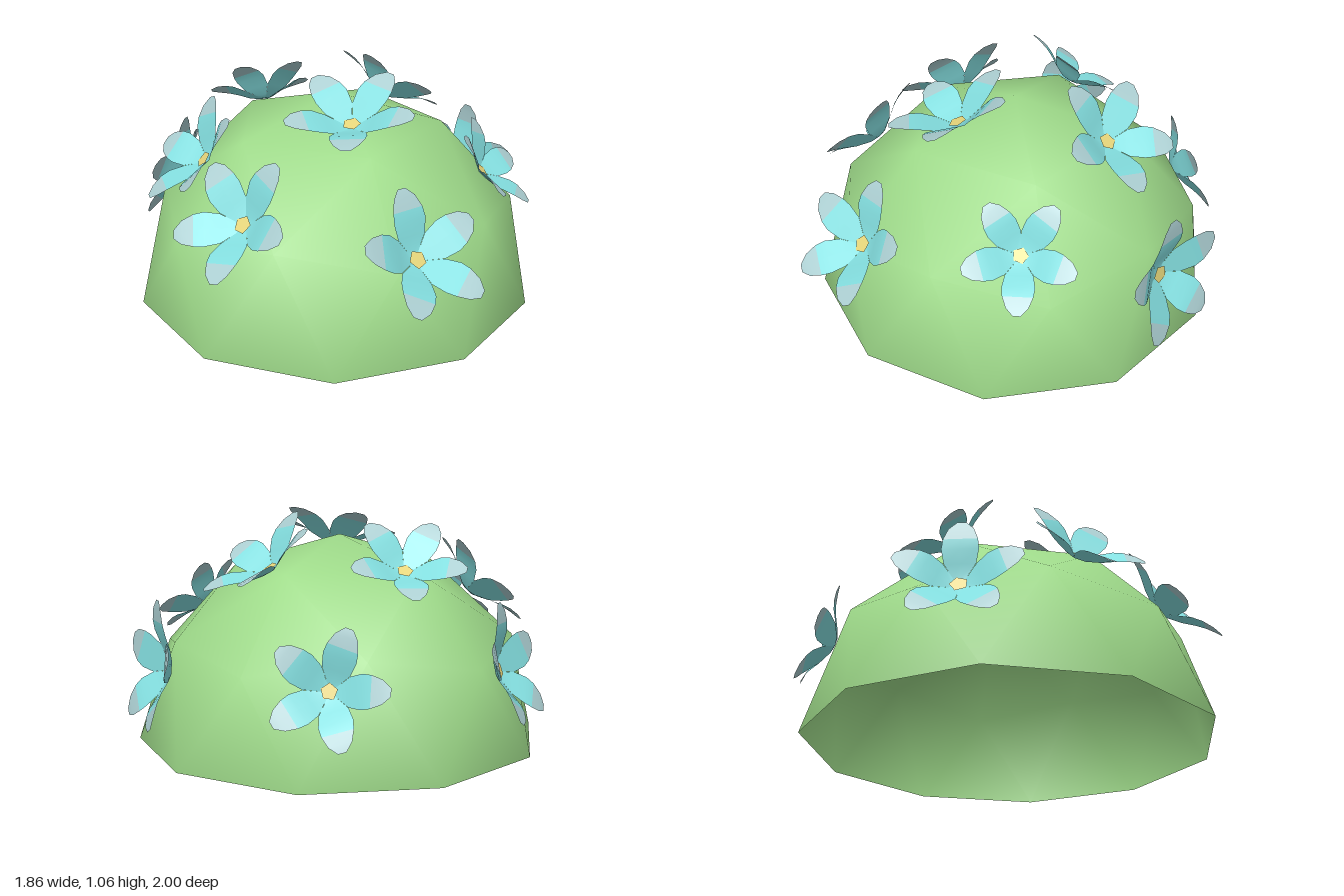
import * as THREE from 'three';
import { mergeGeometries } from 'three/addons/utils/BufferGeometryUtils.js';

const green = new THREE.MeshStandardMaterial({ color: 0x9fdb8a, side: THREE.DoubleSide });
green.name = 'leaf green';
const cyan = new THREE.MeshStandardMaterial({ color: 0x84dfe0, side: THREE.DoubleSide });
cyan.name = 'petal cyan';
const pale = new THREE.MeshStandardMaterial({ color: 0xaccfd2, side: THREE.DoubleSide });
pale.name = 'petal tip grey';
const yellow = new THREE.MeshStandardMaterial({ color: 0xe6d57a, side: THREE.DoubleSide });
yellow.name = 'pollen yellow';

function build(positions, index) {
  const g = new THREE.BufferGeometry();
  g.setAttribute('position', new THREE.Float32BufferAttribute(positions, 3));
  g.setIndex(index);
  g.computeVertexNormals();
  return g;
}

// Half of a once-subdivided icosahedron, one corner at the top, open below
function domeGeometry(R) {
  const pos = [0, R, 0], idx = [];
  const add = (polar, deg) => {
    const a = THREE.MathUtils.degToRad(deg);
    pos.push(R * Math.sin(polar) * Math.cos(a), R * Math.cos(polar), R * Math.sin(polar) * Math.sin(a));
  };
  const corner = Math.atan(2);
  for (let k = 0; k < 5; k++) add(corner / 2, 72 * k);
  for (let k = 0; k < 10; k++) add(k % 2 ? 1.0172 : corner, 36 * k);
  for (let k = 0; k < 10; k++) add(Math.PI / 2, 18 + 36 * k);
  const a = k => 1 + k % 5, p = k => 6 + k % 10, e = k => 16 + k % 10;
  for (let k = 0; k < 5; k++) {
    const m = p(2 * k + 1);
    idx.push(0, a(k + 1), a(k), a(k), m, p(2 * k), a(k), a(k + 1), m, a(k + 1), p(2 * k + 2), m);
  }
  for (let k = 0; k < 10; k++) idx.push(p(k), p(k + 1), e(k), e(k), p(k + 1), e(k + 1));
  const g = build(pos, idx);
  // Spherical normals keep the shading smooth over the facets
  g.setAttribute('normal', new THREE.Float32BufferAttribute(pos.map(v => v / R), 3));
  return g;
}

const dome = domeGeometry(0.945);
const origin = new THREE.Vector3(0.025, 0, -0.02);

// Planes of the dome's facets, for seating the flowers
const facets = [];
for (let i = 0; i < dome.index.count; i += 3) {
  const corners = [0, 1, 2].map(j =>
    new THREE.Vector3().fromBufferAttribute(dome.attributes.position, dome.index.getX(i + j)));
  facets.push(new THREE.Plane().setFromCoplanarPoints(...corners));
}

// The facet of the convex dome that lies under a point
function facetUnder(point) {
  const reach = f => f.normal.dot(point) / -f.constant;
  return facets.reduce((best, f) => (reach(f) > reach(best) ? f : best));
}

// Five petals from rows of [distance from centre, half width, height]
function petalRing(rows) {
  const pos = [], idx = [];
  rows.forEach(([r, w, h], i) => {
    for (const s of [-1, 0, 1]) pos.push(s * w, h, r);
    if (i === 0) return;
    const b = 3 * i;
    for (const c of [0, 1]) {
      const p = b - 3 + c, q = b + c;
      idx.push(p, q, p + 1, p + 1, q, q + 1);
    }
  });
  const petal = build(pos, idx);
  return mergeGeometries([0, 1, 2, 3, 4].map(k => petal.clone().rotateY(k * Math.PI * 0.4)));
}

// Petals are joined near the middle, then swell and narrow to a blunt tip
const petalBase = petalRing([
  [0, 0.001, 0.012], [0.04, 0.029, 0.018], [0.1, 0.072, 0.05], [0.16, 0.084, 0.085], [0.205, 0.078, 0.103],
]);
const petalTip = petalRing([[0.205, 0.078, 0.103], [0.26, 0.057, 0.115], [0.3, 0.02, 0.118]]);
const centre = new THREE.CircleGeometry(0.043, 5).rotateX(-Math.PI / 2).translate(0, 0.024, 0);

// Flower seated flat on its facet, with one petal along the given direction
function makeFlower(position, direction, scale) {
  const flower = new THREE.Group();
  const parts = [['petals', petalBase, cyan], ['petalTips', petalTip, pale], ['flowerCentre', centre, yellow]];
  for (const [name, geometry, material] of parts) {
    const mesh = new THREE.Mesh(geometry, material);
    mesh.name = name;
    flower.add(mesh);
  }
  const point = new THREE.Vector3(...position).sub(origin);
  const facet = facetUnder(point);
  const n = facet.normal;
  facet.projectPoint(point, flower.position).add(origin);
  const d = new THREE.Vector3(...direction).projectOnPlane(n).normalize();
  const x = new THREE.Vector3().crossVectors(n, d);
  flower.quaternion.setFromRotationMatrix(new THREE.Matrix4().makeBasis(x, n, d));
  flower.scale.setScalar(scale);
  return flower;
}

// [position, direction of one petal, scale]
const flowers = [
  [[-0.08, 0.39, -0.85], [-0.3, -0.88, -0.3], 0.84],
  [[-0.32, 0.815, -0.35], [-0.05, -0.137, -0.17], 0.86],
  [[0.275, 0.825, -0.395], [-0.02, -0.1, -0.254], 0.95],
  [[-0.73, 0.40, -0.38], [0.31, 0.94, 0.11], 0.92],
  [[0.69, 0.385, -0.54], [-0.043, 0.266, 0.028], 0.98],
  [[-0.57, 0.68, 0.155], [0.03, -0.08, 0.273], 0.95],
  [[0.10, 0.88, 0.25], [-0.02, -0.095, 0.28], 0.97],
  [[0.72, 0.60, 0.08], [0, -0.046, 0.22], 0.82],
  [[-0.36, 0.565, 0.60], [0.187, 0.194, -0.069], 0.96],
  [[0.36, 0.455, 0.71], [-0.106, 0.214, -0.156], 0.95],
];

export function createModel() {
  const model = new THREE.Group();
  model.name = 'floweringBush';
  const bush = new THREE.Mesh(dome, green);
  bush.name = 'bushDome';
  bush.position.copy(origin);
  model.add(bush);
  flowers.forEach(([position, direction, scale], i) => {
    const flower = makeFlower(position, direction, scale);
    flower.name = `flower${i + 1}`;
    model.add(flower);
  });
  return model;
}
